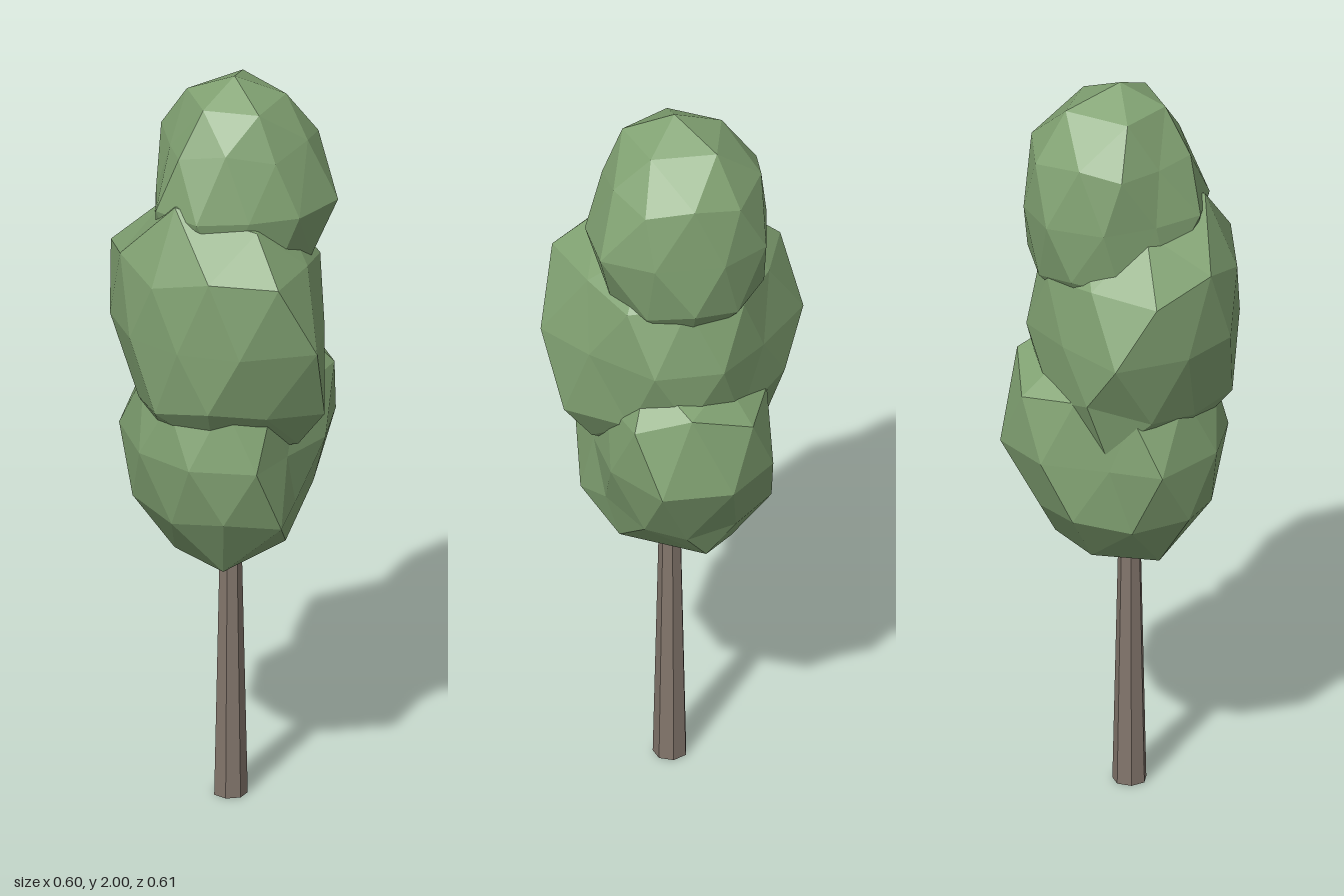
import * as THREE from 'three';

const leafGreen = new THREE.MeshStandardMaterial({ color: 0x82a373 });
const barkBrown = new THREE.MeshStandardMaterial({ color: 0x82756b });

// Faceted clump: a stretched icosphere with its pole up; the corner nearest to each pull point moves there
function clump(name, center, radii, pulls) {
  const geo = new THREE.IcosahedronGeometry(1, 1);
  geo.rotateX(-Math.atan2((1 + Math.sqrt(5)) / 2, 1));
  geo.rotateY(Math.PI / 2);
  geo.scale(...radii);
  geo.translate(...center);

  const pos = geo.attributes.position;
  const base = [];
  for (let i = 0; i < pos.count; i++) base.push(new THREE.Vector3().fromBufferAttribute(pos, i));
  for (const pull of pulls) {
    const target = new THREE.Vector3(...pull);
    let nearest = base[0];
    for (const p of base) if (p.distanceTo(target) < nearest.distanceTo(target)) nearest = p;
    base.forEach((p, i) => {
      if (p.distanceTo(nearest) < 1e-4) pos.setXYZ(i, ...pull);
    });
  }
  geo.computeVertexNormals();
  const mesh = new THREE.Mesh(geo, leafGreen);
  mesh.name = name;
  return mesh;
}

export function createModel() {
  const tree = new THREE.Group();
  tree.name = 'tree';

  // Tapering trunk, its top hidden in the foliage
  const trunkGeo = new THREE.CylinderGeometry(0.025, 0.045, 0.9, 7).toNonIndexed();
  trunkGeo.rotateY(Math.PI);
  trunkGeo.translate(0, 0.45, 0);
  trunkGeo.computeVertexNormals();
  const trunk = new THREE.Mesh(trunkGeo, barkBrown);
  trunk.name = 'trunk';
  tree.add(trunk);

  // Lower clump, hollowed towards the front left
  tree.add(clump('lowerFoliage', [0.02, 1.0, -0.02], [0.285, 0.345, 0.285], [
    // widest ring
    [0.30, 1.0, -0.13], [0.19, 1.0, -0.28], [0.015, 1.0, -0.305],
    [0.24, 1.0, 0.05], [0.12, 1.0, 0.16], [-0.265, 1.0, -0.14], [-0.14, 1.0, -0.21],
    // upper side
    [0.28, 1.17, -0.04], [0.16, 1.15, 0.1], [0.07, 1.15, 0.2],
    [0.10, 1.16, -0.29], [0.23, 1.22, -0.18], [0.06, 1.25, -0.19],
    // underside
    [0.225, 0.84, -0.04], [0.18, 0.81, -0.14], [0.15, 0.85, 0.11], [0.09, 0.835, -0.235],
    [-0.25, 0.84, -0.03], [0.015, 0.655, -0.03], [-0.14, 0.685, -0.03],
    [-0.04, 0.67, 0.115], [0.13, 0.73, 0.08], [0.11, 0.73, -0.16],
  ]));

  // Middle clump, with tips hanging over the lower one
  tree.add(clump('middleFoliage', [-0.025, 1.335, 0.005], [0.29, 0.365, 0.29], [
    // widest ring
    [-0.28, 1.335, 0.09], [-0.18, 1.335, 0.22], [-0.03, 1.335, 0.295],
    [0.175, 1.335, 0.285], [-0.30, 1.335, -0.08], [-0.225, 1.335, -0.27],
    [0.255, 1.335, -0.085], [0.225, 1.335, 0.12], [-0.02, 1.335, -0.26],
    // upper side
    [-0.29, 1.54, 0.01], [0.07, 1.53, 0.305], [-0.28, 1.5, -0.175],
    [-0.10, 1.51, -0.235], [-0.105, 1.54, 0.26], [-0.165, 1.70, 0.11], [0.035, 1.645, 0.19],
    // underside
    [0.15, 1.03, 0.15], [0.21, 1.13, 0.2], [-0.24, 1.13, 0.0],
    [-0.12, 1.2, -0.27], [-0.13, 1.04, -0.21],
  ]));

  // Crown
  tree.add(clump('upperFoliage', [0.025, 1.67, -0.05], [0.24, 0.33, 0.235], [
    // widest ring
    [0.27, 1.67, 0.065], [-0.205, 1.67, 0.055], [-0.18, 1.67, -0.08],
    [0.255, 1.67, -0.085], [-0.12, 1.67, 0.17], [0.15, 1.67, 0.17],
    [-0.125, 1.67, -0.215], [0.15, 1.67, -0.235], [0.015, 1.67, -0.285], [0.015, 1.67, 0.185],
    // upper side
    [0.015, 2.0, -0.02], [0.15, 1.94, -0.02], [0.055, 1.94, 0.11],
    [-0.08, 1.94, 0.05], [-0.095, 1.94, -0.10], [-0.15, 1.81, -0.04], [-0.055, 1.84, -0.235],
  ]));
  return tree;
}
